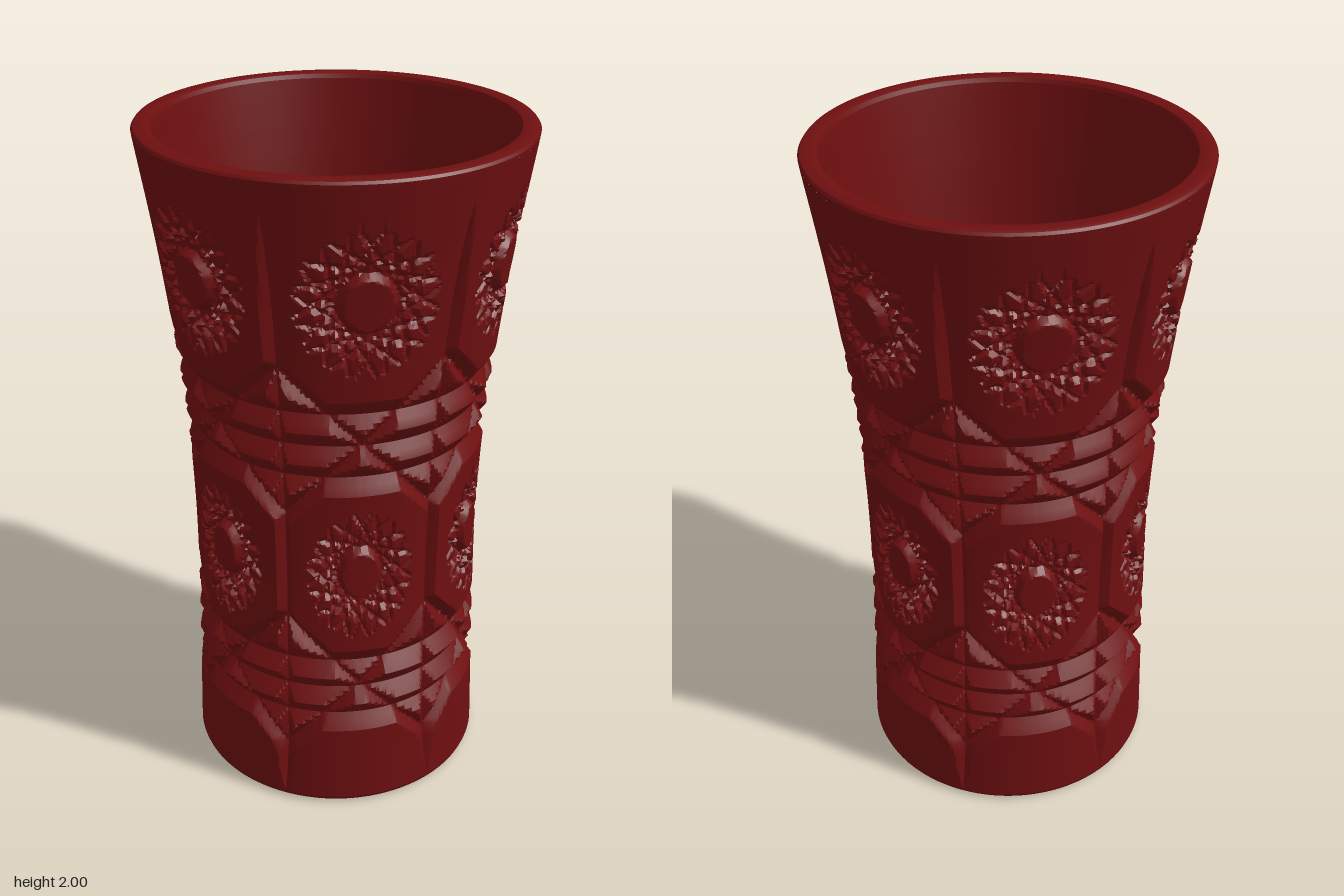
import * as THREE from 'three';
import { toCreasedNormals } from 'three/addons/utils/BufferGeometryUtils.js';

const PANELS = 6;
const STEP = (Math.PI * 2) / PANELS;
const COLS = 360;
const ARC = 0.44; // mean radius, turns panel angle into surface distance

// Uncut outer radius by height
const outline = new THREE.CubicInterpolant(
  [0, 0.3, 0.8, 1.1, 1.4, 1.7, 2],
  [0.445, 0.436, 0.426, 0.436, 0.463, 0.5, 0.546], 1);
const outerRadius = (y) => outline.evaluate(y)[0];

// Depth of a V-shaped wheel cut at distance d from its centre line
const vCut = (d, halfWidth, depth) => depth * Math.max(0, 1 - Math.abs(d) / halfWidth);

const bands = [
  { y: 0.43, grooves: [0.32, 0.415, 0.51] },
  { y: 1.235, grooves: [1.13, 1.23, 1.33] },
];
const stars = [
  { y: 0.815, halfAngle: 0.355, halfHeight: 0.205 },
  { y: 1.66, halfAngle: 0.385, halfHeight: 0.205 },
];

// Pointed star: chords skipping round 16 points, leaving a round button in the middle
const POINTS = 16;
const INNER = Math.cos((Math.PI * 6) / POINTS);
const HALF_CHORD = Math.sqrt(1 - INNER * INNER);
function starCut(u, v) {
  if (u * u + v * v > 1.05) return 0;
  let depth = 0;
  for (let i = 0; i < POINTS; i++) {
    const a = ((i + 0.5) / POINTS) * Math.PI * 2;
    const along = (-u * Math.sin(a) + v * Math.cos(a)) / HALF_CHORD;
    const across = u * Math.cos(a) + v * Math.sin(a) - INNER - 0.05;
    const taper = 1 - along * along;
    if (taper > 0) depth = Math.max(depth, vCut(across, 0.03 + 0.055 * taper, 0.008 + 0.02 * taper));
  }
  return depth;
}

// Deepest cut at a point of a panel; angle is measured from the panel's middle
function cutDepth(angle, y) {
  const s = angle * ARC;
  let depth = 0;

  // tapering upright cut between panels
  if (y > 0.04 && y < 1.88) {
    const taper = Math.min(1, Math.sqrt((y - 0.04) / 0.16), Math.sqrt((1.88 - y) / 0.25));
    const width = THREE.MathUtils.lerp(0.03, 0.022, THREE.MathUtils.smoothstep(y, 0.2, 0.7));
    depth = vCut((STEP / 2) * ARC - Math.abs(s), width * taper + 1e-4, 0.026 * taper);
  }

  for (const band of bands) {
    // ring grooves
    for (const g of band.grooves) depth = Math.max(depth, vCut(y - g, 0.047, 0.03));
    // crossed diagonals
    const d = (Math.abs(y - band.y) - Math.abs(s)) * Math.SQRT1_2;
    if (Math.abs(y - band.y) < 0.25) depth = Math.max(depth, vCut(d, 0.03, 0.03));
  }

  for (const star of stars) {
    depth = Math.max(depth, starCut(angle / star.halfAngle, (y - star.y) / star.halfHeight));
  }
  return depth;
}

// Row heights, closer together where the pattern is fine
function rowHeights() {
  const spans = [
    [0.02, 0.2, 6], [0.2, 0.32, 10], [0.32, 0.51, 16], [0.51, 0.61, 8], [0.61, 1.02, 52],
    [1.02, 1.13, 9], [1.13, 1.33, 16], [1.33, 1.455, 10], [1.455, 1.865, 52], [1.865, 1.98, 3],
  ];
  const rows = [0.02];
  for (const [a, b, n] of spans) {
    for (let i = 1; i <= n; i++) rows.push(a + ((b - a) * i) / n);
  }
  return rows;
}

function cutBodyGeometry() {
  const rows = rowHeights();
  const positions = [];
  const depths = [];
  const index = [];
  for (const y of rows) {
    for (let c = 0; c < COLS; c++) {
      const theta = (c / COLS) * Math.PI * 2;
      const local = theta - Math.round(theta / STEP) * STEP;
      const depth = cutDepth(local, y);
      const r = outerRadius(y) - depth;
      depths.push(depth);
      positions.push(r * Math.sin(theta), y, r * Math.cos(theta));
    }
  }
  for (let j = 0; j < rows.length - 1; j++) {
    for (let c = 0; c < COLS; c++) {
      const n = (c + 1) % COLS;
      const a = j * COLS + c, b = j * COLS + n;
      const d = a + COLS, e = b + COLS;
      // split each quad along the more level diagonal, so creases stay crisp
      if (Math.abs(depths[a] - depths[e]) <= Math.abs(depths[b] - depths[d])) {
        index.push(a, b, e, a, e, d);
      } else {
        index.push(a, b, d, b, e, d);
      }
    }
  }
  const geometry = new THREE.BufferGeometry();
  geometry.setAttribute('position', new THREE.Float32BufferAttribute(positions, 3));
  geometry.setIndex(index);
  return toCreasedNormals(geometry, 0.35);
}

function turned(points) {
  const profile = points.map(([r, y]) => new THREE.Vector2(r, y));
  return toCreasedNormals(new THREE.LatheGeometry(profile, 180), 0.6);
}

export function createModel() {
  const group = new THREE.Group();
  group.name = 'cutGlassVase';
  const glass = new THREE.MeshStandardMaterial({ color: 0x6e0f10 });
  const add = (name, geometry) => {
    const mesh = new THREE.Mesh(geometry, glass);
    mesh.name = name;
    group.add(mesh);
  };

  add('cutBody', cutBodyGeometry());

  // flat foot with a small rounded edge
  add('base', turned([[0, 0], [0.422, 0], [0.434, 0.004], [0.441, 0.011], [outerRadius(0.02), 0.02]]));

  // rounded lip
  add('rim', turned([
    [outerRadius(1.98), 1.98], [0.544, 1.99], [0.539, 1.997], [0.53, 2],
    [0.503, 2], [0.495, 1.997], [0.49, 1.985],
  ]));

  // inner wall, following the flare
  const wall = new THREE.SplineCurve([
    [0.49, 1.985], [0.445, 1.68], [0.405, 1.38], [0.378, 1.08], [0.368, 0.78], [0.366, 0.48], [0.365, 0.17],
  ].map(([r, y]) => new THREE.Vector2(r, y))).getPoints(24).map((p) => [p.x, p.y]);
  add('innerWall', turned(wall));

  // inside floor with a soft corner
  add('innerFloor', turned([[0.365, 0.17], [0.36, 0.15], [0.345, 0.135], [0.32, 0.13], [0, 0.13]]));

  return group;
}
